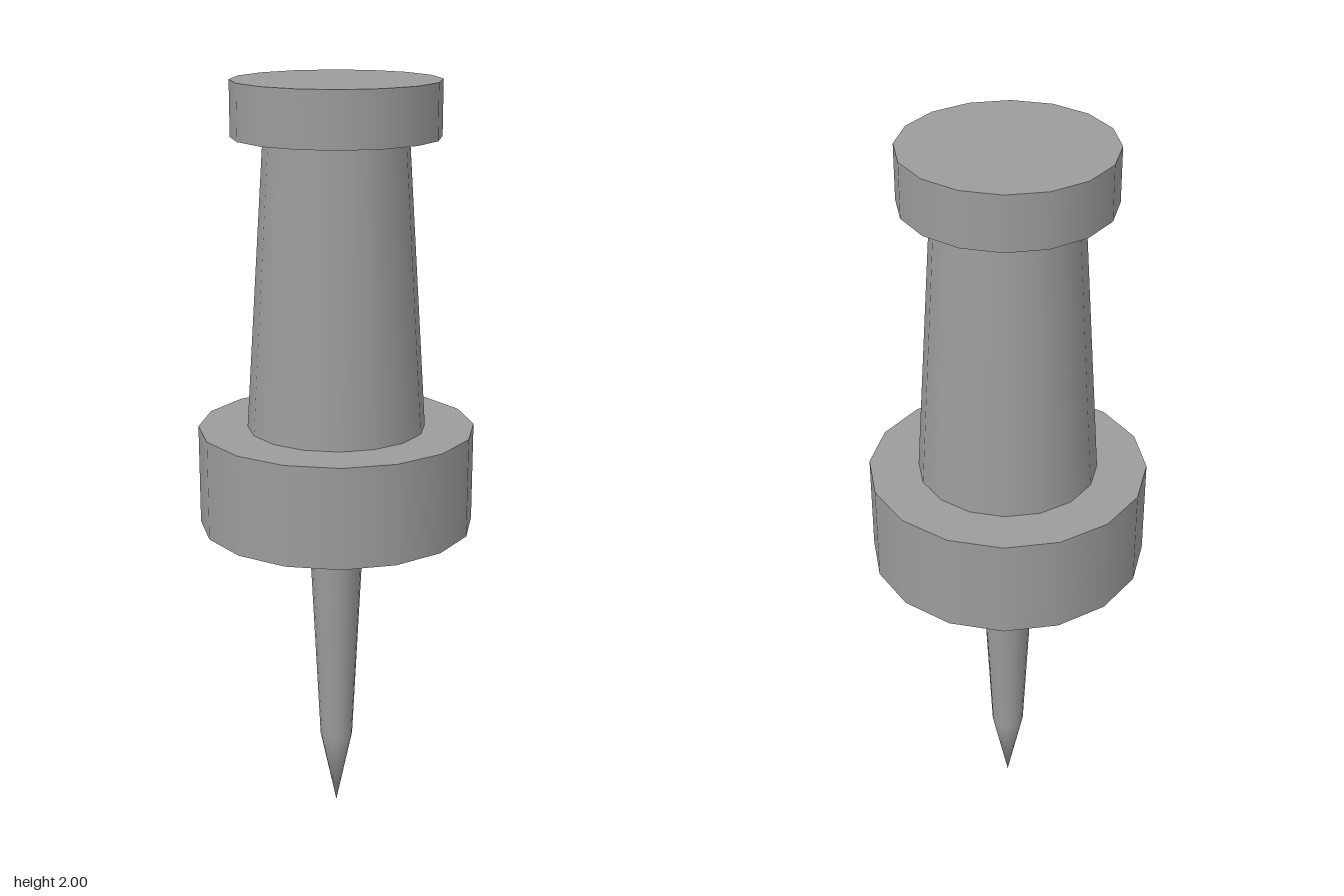
import * as THREE from 'three';
import { mergeVertices } from 'three/addons/utils/BufferGeometryUtils.js';

const SIDES = 16;

export function createModel() {
  const model = new THREE.Group();
  model.name = 'pushPin';
  const material = new THREE.MeshStandardMaterial({ color: 0x9c9c9c });

  function add(name, geometry) {
    const mesh = new THREE.Mesh(geometry, material);
    mesh.name = name;
    model.add(mesh);
  }

  // Upright round section between two heights, with capped ends
  function section(name, bottomRadius, topRadius, bottom, top) {
    const geometry = new THREE.CylinderGeometry(topRadius, bottomRadius, top - bottom, SIDES);
    add(name, geometry.translate(0, (bottom + top) / 2, 0));
  }

  // Plastic handle: top cap, tapered grip and wide collar
  section('cap', 0.265, 0.265, 1.86, 2);
  section('grip', 0.233, 0.184, 1.11, 1.86);
  section('collar', 0.362, 0.362, 0.845, 1.11);

  // Needle: tapering shaft and point, welded so the shading runs smoothly to the tip
  const profile = [[0, 0], [0.044, 0.21], [0.075, 0.845]];
  const lathe = new THREE.LatheGeometry(profile.map(([r, y]) => new THREE.Vector2(r, y)), SIDES);
  lathe.deleteAttribute('uv');
  lathe.deleteAttribute('normal');
  const needle = mergeVertices(lathe);
  needle.computeVertexNormals();
  add('needle', needle);

  return model;
}
